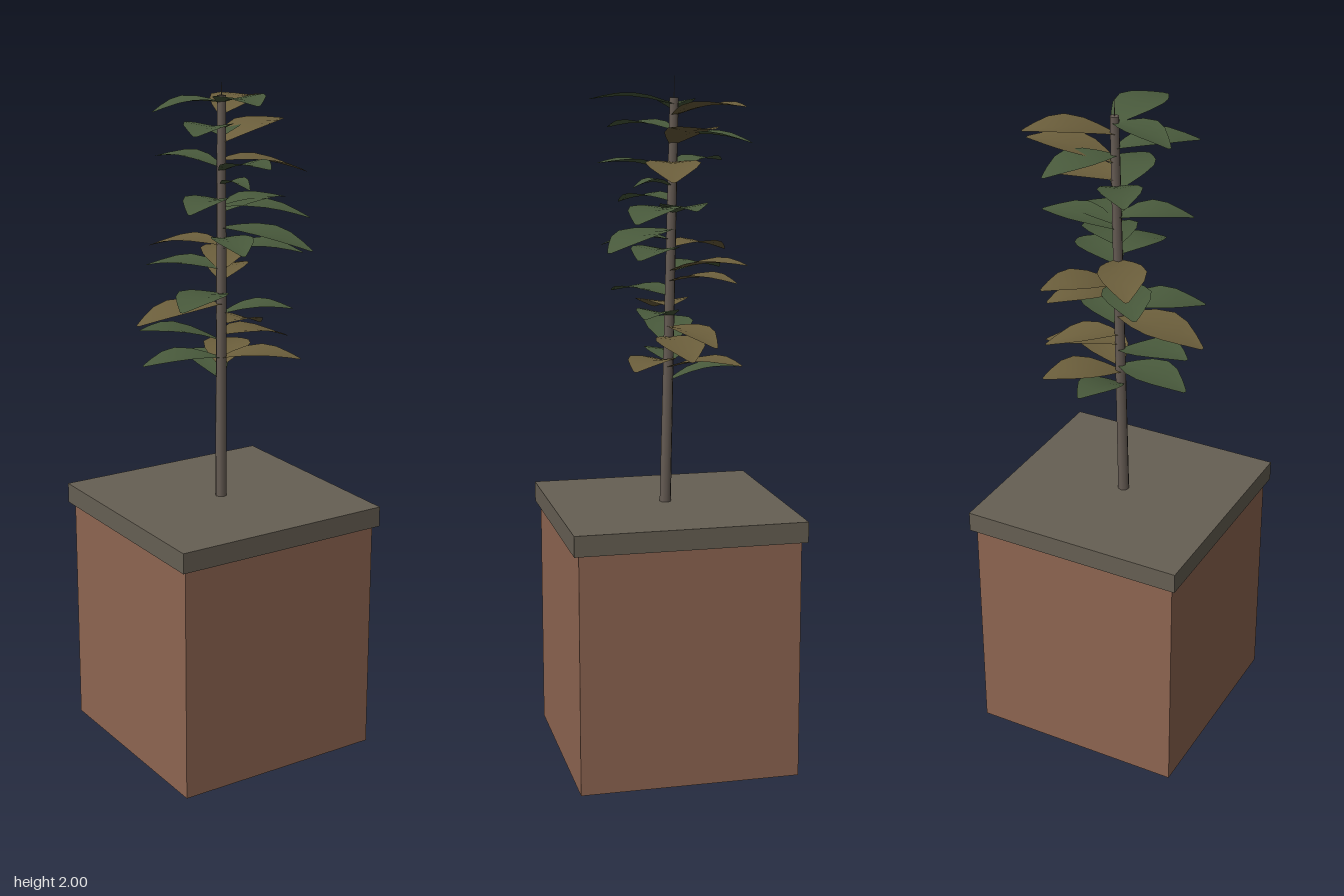
import * as THREE from 'three';

const paint = (name, color, side = THREE.FrontSide) =>
  new THREE.MeshStandardMaterial({ name, color, side });

const STEM_BASE = new THREE.Vector3(0, 0.76, 0);
const STEM_TOP = new THREE.Vector3(0.016, 1.93, -0.022);

// Leaves as [tip x, tip z, base y, tip y]
const GREEN_LEAVES = [
  [-0.02, 0.215, 1.91, 1.925], [-0.175, -0.075, 1.91, 1.89], [-0.165, 0.13, 1.84, 1.845],
  [0.125, -0.22, 1.82, 1.805], [0.03, 0.2, 1.72, 1.75], [-0.1, -0.19, 1.73, 1.75],
  [0.03, 0.1, 1.68, 1.68], [-0.165, 0.1, 1.64, 1.63], [0.24, -0.03, 1.605, 1.625],
  [0.215, 0.13, 1.62, 1.59], [0.175, 0.2, 1.56, 1.51], [-0.04, 0.18, 1.53, 1.515],
  [0.2, 0.12, 1.5, 1.49], [-0.135, -0.195, 1.44, 1.435], [-0.2, 0.115, 1.37, 1.365],
  [0.18, 0.1, 1.31, 1.325], [-0.23, -0.065, 1.23, 1.28], [-0.225, -0.06, 1.18, 1.175],
  [0.035, -0.205, 1.12, 1.16],
];
const OLIVE_LEAVES = [
  [0.21, -0.175, 1.88, 1.905], [0.26, -0.07, 1.8, 1.845], [0.265, 0.04, 1.75, 1.705],
  [-0.115, -0.205, 1.51, 1.49], [0.15, -0.2, 1.44, 1.465], [0.15, -0.17, 1.41, 1.415],
  [-0.26, -0.028, 1.34, 1.305], [0.2, -0.1, 1.28, 1.24], [0.245, -0.02, 1.25, 1.21],
  [0.19, 0.13, 1.18, 1.18], [0.16, -0.185, 1.16, 1.18],
];

// Arched blade with a shallow keel, built from cross-sections along its length
function leafGeometry([tx, tz, baseY, tipY]) {
  const t0 = (baseY - STEM_BASE.y) / (STEM_TOP.y - STEM_BASE.y);
  const base = STEM_BASE.clone().lerp(STEM_TOP, t0);
  const tip = new THREE.Vector3(tx, tipY, tz);
  const along = tip.clone().sub(base);
  const length = Math.hypot(along.x, along.z);
  const side = new THREE.Vector3(-along.z, 0, along.x).divideScalar(length);
  const profile = [[0, 0.05], [0.15, 0.16], [0.3, 0.25], [0.5, 0.3], [0.68, 0.25], [0.85, 0.14], [0.95, 0.065], [1, 0.025]];
  const points = [], index = [];
  profile.forEach(([t, halfWidth], i) => {
    const arch = Math.sin(Math.PI * t) * 0.016;
    for (const s of [-1, 0, 1]) {
      const p = base.clone().addScaledVector(along, t).addScaledVector(side, s * halfWidth * length);
      p.y += arch + Math.abs(s) * halfWidth * 0.035;
      points.push(p);
    }
    if (i === profile.length - 1) return;
    for (let c = 0; c < 2; c++) {
      const a = i * 3 + c;
      index.push(a, a + 1, a + 3, a + 1, a + 4, a + 3);
    }
  });
  // Wind the faces so that the upper side is the front
  for (let i = 0; i < index.length; i += 3) [index[i + 1], index[i + 2]] = [index[i + 2], index[i + 1]];
  const geometry = new THREE.BufferGeometry().setFromPoints(points);
  geometry.setIndex(index);
  geometry.computeVertexNormals();
  if (geometry.attributes.normal.getY(10) < 0) {
    geometry.setIndex(index.reverse());
    geometry.computeVertexNormals();
  }
  return geometry;
}

export function createModel() {
  const model = new THREE.Group();
  const terracotta = paint('terracotta', 0x8e6551);
  const stone = paint('stone', 0x665f53);
  const bark = paint('bark', 0x655b53);
  const green = paint('leafGreen', 0x495a3c, THREE.DoubleSide);
  const olive = paint('leafOlive', 0x6c5f3c, THREE.DoubleSide);

  const add = (name, geometry, material, parent = model) => {
    const mesh = new THREE.Mesh(geometry, material);
    mesh.name = name;
    parent.add(mesh);
    return mesh;
  };

  // Square planter with an overhanging slab
  add('pot', new THREE.BoxGeometry(0.64, 0.7, 0.64), terracotta).position.y = 0.35;
  add('topSlab', new THREE.BoxGeometry(0.67, 0.06, 0.67), stone).position.y = 0.73;

  // Slightly leaning stem and its fine growing tip
  const rise = STEM_TOP.clone().sub(STEM_BASE);
  const up = new THREE.Vector3(0, 1, 0);
  const stem = add('stem', new THREE.CylinderGeometry(0.013, 0.017, rise.length(), 8), bark);
  stem.position.copy(STEM_BASE).addScaledVector(rise, 0.5);
  stem.quaternion.setFromUnitVectors(up, rise.clone().normalize());
  add('growingTip', new THREE.ConeGeometry(0.0015, 0.07, 4), bark)
    .position.set(STEM_TOP.x, 1.965, STEM_TOP.z);

  // Foliage
  const foliage = new THREE.Group();
  foliage.name = 'foliage';
  model.add(foliage);
  GREEN_LEAVES.forEach((leaf) => add('greenLeaf', leafGeometry(leaf), green, foliage));
  OLIVE_LEAVES.forEach((leaf) => add('oliveLeaf', leafGeometry(leaf), olive, foliage));
  return model;
}
